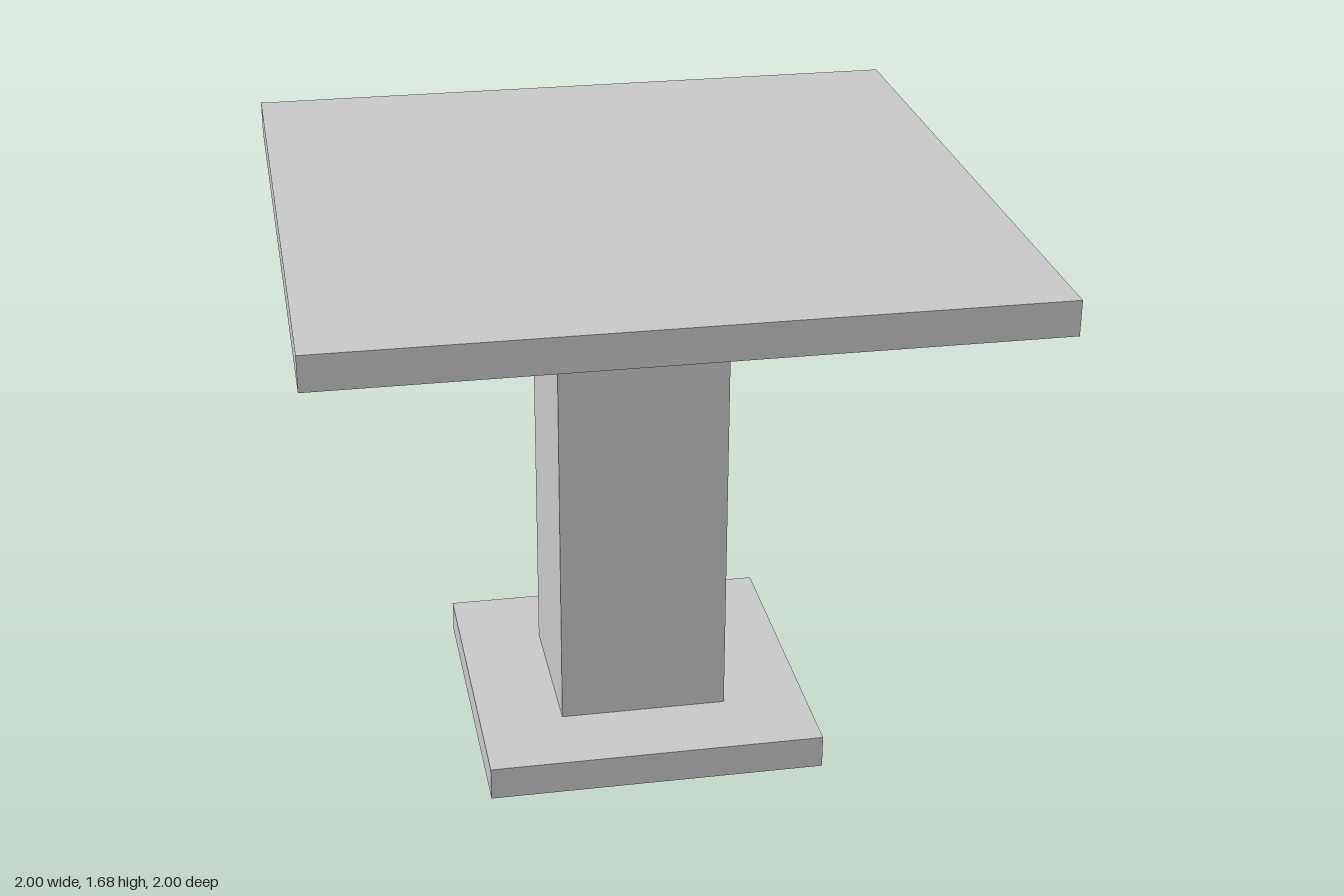
import * as THREE from 'three';

const material = new THREE.MeshStandardMaterial({ color: 0xcccccc, flatShading: true });

// Square slab of the given width, spanning bottom to top
function slab(name, width, bottom, top) {
  const mesh = new THREE.Mesh(new THREE.BoxGeometry(width, top - bottom, width), material);
  mesh.position.y = (bottom + top) / 2;
  mesh.name = name;
  return mesh;
}

export function createModel() {
  const table = new THREE.Group();
  table.name = 'pedestalTable';
  table.add(
    slab('base', 1, 0, 0.1),
    slab('column', 0.5, 0.1, 1.58),
    slab('tabletop', 2, 1.58, 1.68),
  );
  return table;
}
